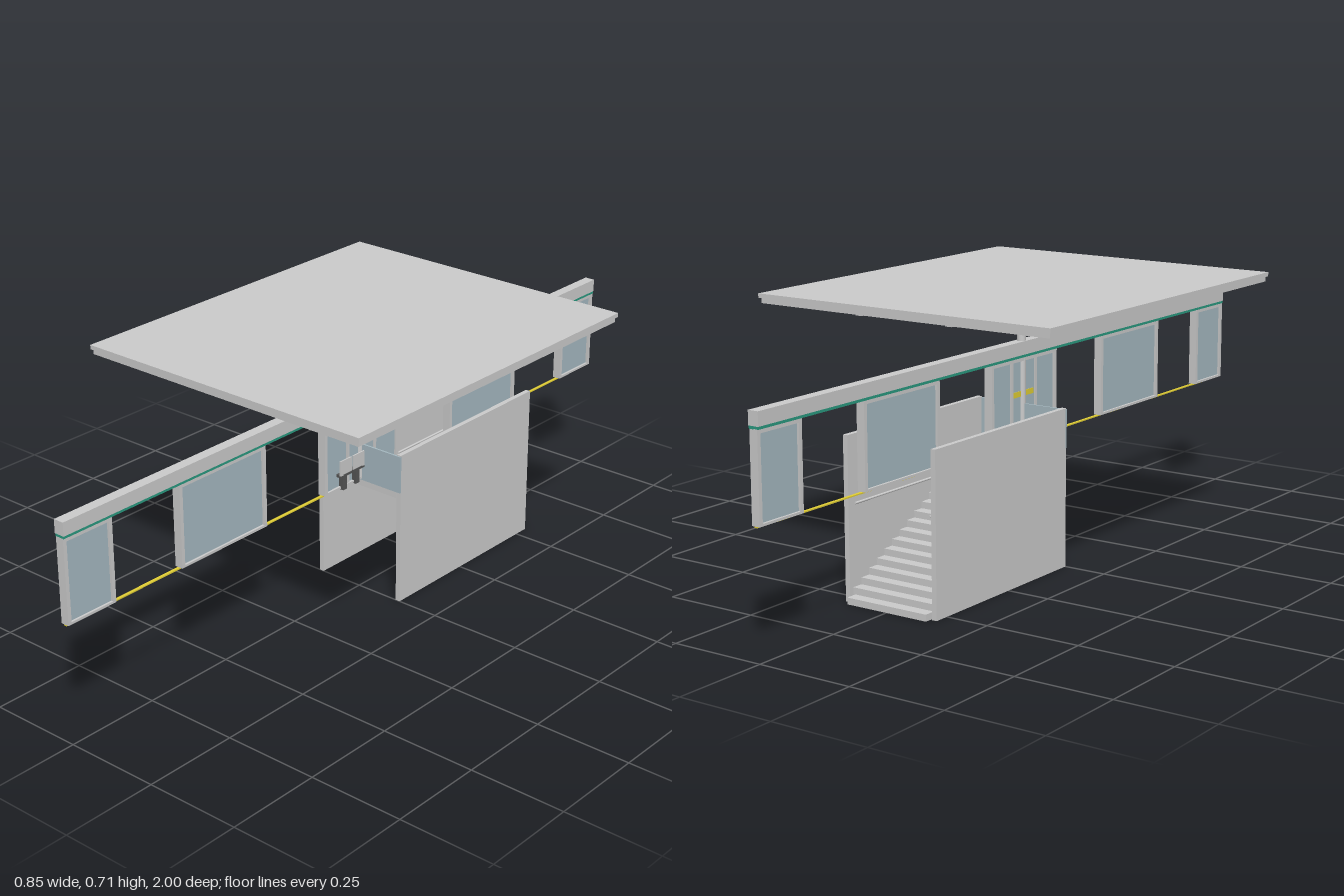
import * as THREE from 'three';

const mat = (color) => new THREE.MeshStandardMaterial({ color });
const grey = mat(0xcccccc), glass = mat(0xa6b9c1), teal = mat(0x2a9a80);
const yellow = mat(0xe2cf35), dark = mat(0x555555);

// Box given by its [min, max] range on each axis
function box(parent, name, [x0, x1], [y0, y1], [z0, z1], material = grey) {
  const mesh = new THREE.Mesh(new THREE.BoxGeometry(x1 - x0, y1 - y0, z1 - z0), material);
  mesh.position.set((x0 + x1) / 2, (y0 + y1) / 2, (z0 + z1) / 2);
  mesh.name = name;
  parent.add(mesh);
  return mesh;
}

function cylinder(parent, name, r, length, x, y, z, alongZ = false) {
  const mesh = new THREE.Mesh(new THREE.CylinderGeometry(r, r, length, 24), grey);
  if (alongZ) mesh.rotation.x = Math.PI / 2;
  mesh.position.set(x, y, z);
  mesh.name = name;
  parent.add(mesh);
}

function group(parent, name) {
  const g = new THREE.Group();
  g.name = name;
  parent.add(g);
  return g;
}

// Framed glass panel in the screen wall
function screenPanel(parent, z0, z1) {
  const g = group(parent, 'screenPanel');
  const w = 0.01, x = [-0.011, 0.011];
  box(g, 'post', x, [0.31, 0.525], [z0, z0 + w]);
  box(g, 'post', x, [0.31, 0.525], [z1 - w, z1]);
  box(g, 'topRail', x, [0.515, 0.525], [z0 + w, z1 - w]);
  box(g, 'bottomRail', x, [0.31, 0.316], [z0 + w, z1 - w]);
  box(g, 'pane', [-0.005, 0.005], [0.316, 0.515], [z0 + w, z1 - w], glass);
}

function createRoof(model) {
  const roof = group(model, 'roof');
  box(roof, 'roofTop', [-0.423, 0.423], [0.7, 0.711], [-0.5, 0.5]);
  box(roof, 'roofBody', [-0.418, 0.418], [0.687, 0.7], [-0.495, 0.495]);
  for (const s of [-1, 1])
    box(roof, 'lightStrip', [s * 0.13 - 0.009, s * 0.13 + 0.009], [0.682, 0.687], [-0.48, 0.48]);
  cylinder(roof, 'column', 0.0115, 0.375, 0, 0.4975, 0);
  cylinder(roof, 'columnCap', 0.015, 0.021, 0, 0.6765, 0);
}

function createScreenWall(model) {
  const wall = group(model, 'screenWall');
  box(wall, 'headerBeam', [-0.014, 0.014], [0.531, 0.565], [-1, 1]);
  box(wall, 'headerStripe', [-0.0125, 0.0125], [0.524, 0.531], [-1, 1], teal);
  box(wall, 'sill', [-0.004, 0.004], [0.307, 0.31], [-1, 1], yellow);
  for (const [z0, z1] of [[-1, -0.855], [-0.64, -0.355], [-0.143, 0.143], [0.355, 0.645], [0.855, 1]])
    screenPanel(wall, z0, z1);
  // Centre panel mullions and warning marks
  for (const s of [-1, 1]) {
    box(wall, 'mullion', [-0.009, 0.009], [0.316, 0.515], [s * 0.052 - 0.004, s * 0.052 + 0.004]);
    box(wall, 'warningMark', [-0.0065, 0.0065], [0.424, 0.438], [s * 0.028 - 0.016, s * 0.028 + 0.016], yellow);
  }
}

function createSeats(model) {
  for (const z of [0.073, 0.024]) {
    const seat = group(model, 'seat');
    box(seat, 'backrest', [0.016, 0.02], [0.35, 0.39], [z - 0.021, z + 0.021]);
    box(seat, 'seatPad', [-0.02, 0.02], [0.345, 0.352], [z - 0.021, z + 0.021], dark);
    box(seat, 'pedestal', [-0.018, 0.018], [0.308, 0.345], [z - 0.004, z + 0.01], dark);
  }
}

function createStairwell(model) {
  const well = group(model, 'stairwell');
  for (const s of [-1, 1]) {
    box(well, 'sideWall', [s * 0.1285 - 0.0065, s * 0.1285 + 0.0065], [0, 0.408], [-0.54, 0]);
    cylinder(well, 'handrail', 0.003, 0.4, s * 0.11, 0.2435, -0.33, true);
  }
  // Steps rise from the back towards the front, stepped underneath as well
  const count = 18, rise = 0.305 / count, run = 0.03;
  for (let i = 0; i < count; i++) {
    const z = -0.557 + i * run, half = i === 0 ? 0.117 : 0.122;
    box(well, 'step', [-half, half], [i * rise, (i + 1) * rise], [z, Math.min(z + run + 0.008, 0)]);
  }
  box(well, 'landingEdge', [-0.122, 0.122], [0.289, 0.305], [-0.03, 0.001]);
  box(well, 'glassGuard', [-0.135, 0.135], [0.306, 0.405], [-0.002, 0.003], glass);
}

export function createModel() {
  const model = new THREE.Group();
  model.name = 'platformShelter';
  createRoof(model);
  createScreenWall(model);
  createSeats(model);
  createStairwell(model);
  return model;
}
